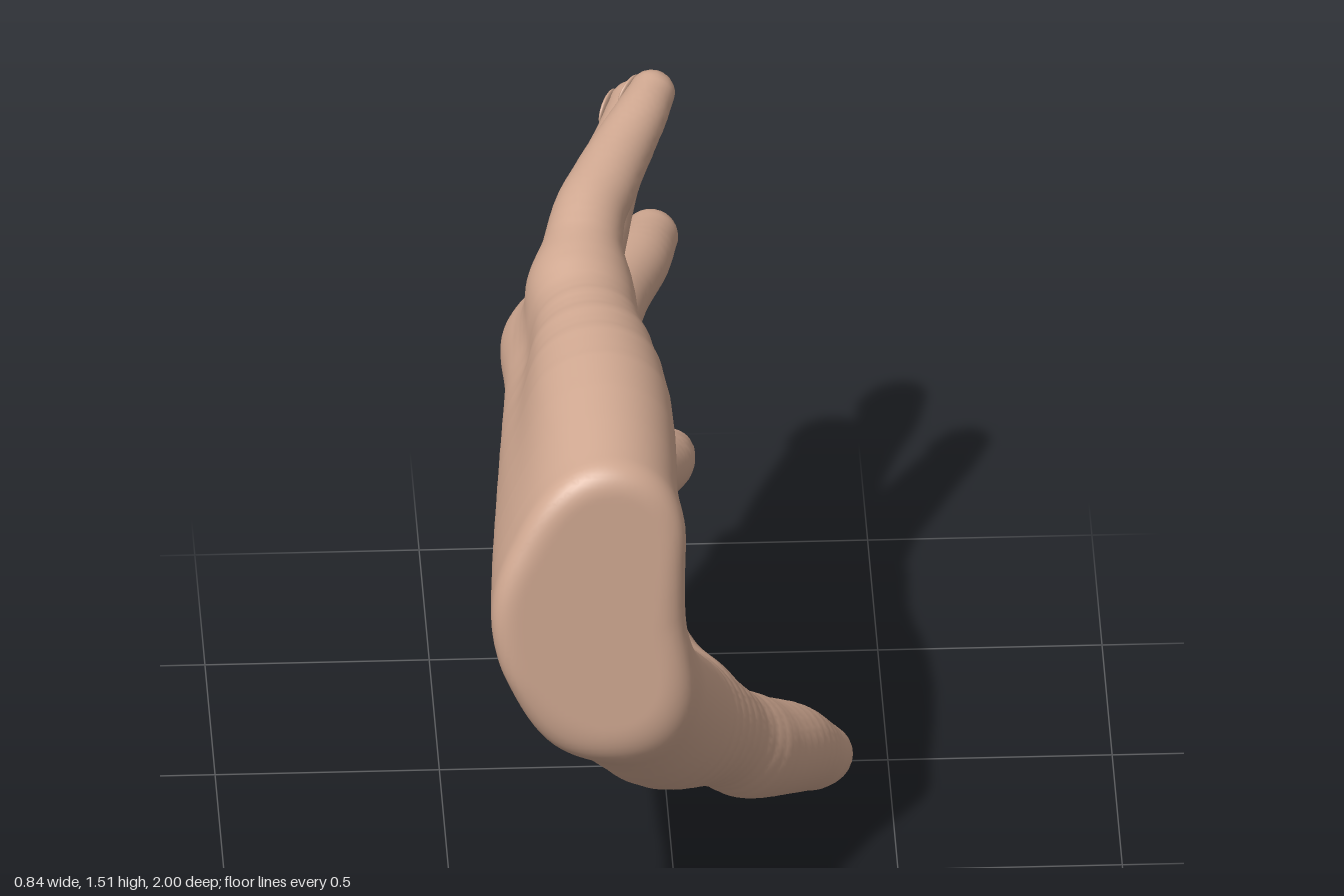
import * as THREE from 'three';

// Each part is a list of limb chains; every chain point is [x, y, z, radius].
const PARTS = {
  palm: [
    [[-0.17, 1.085, 1.08, 0.155], [-0.165, 1.178, 0.5, 0.16], [-0.19, 1.25, 0.07, 0.1]],     // little-finger side
    [[-0.22, 0.96, 1.08, 0.19], [-0.24, 1.0, 0.5, 0.15], [-0.235, 1.05, 0, 0.115]],
    [[-0.23, 0.86, 1.08, 0.18], [-0.24, 0.82, 0.45, 0.15], [-0.225, 0.82, 0, 0.115]],
    [[-0.2, 0.79, 1.08, 0.15], [-0.17, 0.62, 0.42, 0.14], [-0.155, 0.565, 0, 0.118]],        // index side
    [[-0.17, 0.58, 0, 0.09], [-0.21, 0.82, 0, 0.1], [-0.205, 1.06, 0.02, 0.1], [-0.185, 1.2, 0.09, 0.085]], // webbing
    [[-0.15, 1.07, 0.95, 0.125], [-0.14, 0.88, 0.9, 0.125], [-0.12, 0.72, 0.85, 0.125]],     // heel
    [[0.03, 0.46, 0.48, 0.08], [-0.04, 0.5, 0.36, 0.075], [-0.13, 0.53, 0.15, 0.085]],       // thumb web
    [[-0.19, 0.67, 0.9, 0.12], [-0.155, 0.54, 0.62, 0.12], [-0.155, 0.55, 0.28, 0.108]],     // muscle behind the thumb
  ],
  thumb: [
    [[-0.15, 0.77, 0.97, 0.15], [-0.05, 0.505, 0.68, 0.165], [0.07, 0.36, 0.5, 0.128],
      [0.175, 0.235, 0.36, 0.098], [0.275, 0.158, 0.22, 0.078], [0.358, 0.068, 0.102, 0.054]],
    [[0.175, 0.235, 0.36, 0.08], [0.255, 0.148, 0.235, 0.07], [0.305, 0.072, 0.135, 0.05]],  // broad pad
  ],
  indexFinger: [[[-0.155, 0.55, -0.02, 0.122], [-0.13, 0.51, -0.18, 0.11], [-0.08, 0.45, -0.42, 0.094],
    [-0.02, 0.405, -0.58, 0.08], [0.03, 0.368, -0.7, 0.069], [0.045, 0.352, -0.762, 0.06]]],
  middleFinger: [[[-0.22, 0.82, -0.02, 0.11], [-0.19, 0.82, -0.18, 0.099], [-0.14, 0.825, -0.42, 0.09],
    [-0.08, 0.82, -0.65, 0.077], [-0.02, 0.815, -0.82, 0.071], [0.013, 0.812, -0.938, 0.062]]],
  ringFinger: [[[-0.23, 1.06, -0.02, 0.11], [-0.2, 1.085, -0.15, 0.098], [-0.15, 1.125, -0.38, 0.086],
    [-0.1, 1.16, -0.58, 0.074], [-0.05, 1.19, -0.72, 0.069], [-0.025, 1.205, -0.828, 0.062]]],
  littleFinger: [[[-0.195, 1.26, 0.07, 0.095], [-0.165, 1.33, -0.1, 0.083], [-0.125, 1.364, -0.2, 0.077],
    [-0.08, 1.396, -0.3, 0.069], [-0.035, 1.428, -0.39, 0.06], [-0.006, 1.449, -0.458, 0.052]]],
};
const NAMES = Object.keys(PARTS);

// Round a chain off into a flowing curve with smoothly changing radius
function smoothChain(points) {
  const path = new THREE.CatmullRomCurve3(points.map(([x, y, z]) => new THREE.Vector3(x, y, z)), false, 'catmullrom');
  const girth = new THREE.SplineCurve(points.map((p, i) => new THREE.Vector2(i, p[3])));
  const count = (points.length - 1) * 5;
  return Array.from({ length: count + 1 }, (_, i) => [...path.getPoint(i / count).toArray(), girth.getPoint(i / count).y]);
}
const CHAINS = NAMES.map((name) => PARTS[name].map(smoothChain));

// Soft union of two distances
function blend(a, b, k) {
  const h = Math.max(k - Math.abs(a - b), 0) / k;
  return Math.min(a, b) - h * h * k / 4;
}

// Distance to a tapered limb segment
function limb(x, y, z, a, b) {
  const dx = b[0] - a[0], dy = b[1] - a[1], dz = b[2] - a[2];
  const px = x - a[0], py = y - a[1], pz = z - a[2];
  let t = (px * dx + py * dy + pz * dz) / (dx * dx + dy * dy + dz * dz);
  t = Math.min(1, Math.max(0, t));
  const qx = px - t * dx, qy = py - t * dy, qz = pz - t * dz;
  return Math.sqrt(qx * qx + qy * qy + qz * qz) - a[3] - t * (b[3] - a[3]);
}

function partDistance(chains, x, y, z) {
  let d = 10;
  for (const chain of chains) {
    let c = 10;
    for (let i = 1; i < chain.length; i++) c = Math.min(c, limb(x, y, z, chain[i - 1], chain[i]));
    d = blend(d, c, 0.11);
  }
  return d;
}

// Whole hand, trimmed by the slightly slanted wrist plane
function handDistance(x, y, z) {
  let d = 10;
  for (const chains of CHAINS) d = blend(d, partDistance(chains, x, y, z), 0.05);
  return -blend(-d, -(z + 0.07 * (y - 0.65) + 0.08 * (x + 0.25) - 1.0), 0.06);
}

function gradient(x, y, z) {
  const e = 0.008;
  return new THREE.Vector3(
    handDistance(x + e, y, z) - handDistance(x - e, y, z),
    handDistance(x, y + e, z) - handDistance(x, y - e, z),
    handDistance(x, y, z + e) - handDistance(x, y, z - e)).normalize();
}

// Skin the distance field with a quad net, sorted into the named parts
function skinHand() {
  const h = 0.015, lo = [-0.51, -0.06, -1.06], n = [68, 110, 142];
  const step = [1, n[0], n[0] * n[1]];
  const field = new Float32Array(n[0] * n[1] * n[2]);
  const at = (i, axis) => lo[axis] + i * h;
  for (let k = 0, p = 0; k < n[2]; k++)
    for (let j = 0; j < n[1]; j++)
      for (let i = 0; i < n[0]; i++) field[p++] = handDistance(at(i, 0), at(j, 1), at(k, 2));

  const positions = [], normals = [], owner = [];
  const vertexOf = new Int32Array(field.length).fill(-1);
  const cells = [];
  for (let k = 0; k < n[2] - 1; k++) for (let j = 0; j < n[1] - 1; j++) for (let i = 0; i < n[0] - 1; i++) {
    const p = i + j * step[1] + k * step[2];
    const sum = [0, 0, 0];
    let count = 0;
    for (let c = 0; c < 8; c++) for (let axis = 0; axis < 3; axis++) {
      if (c >> axis & 1) continue;
      const bits = [c & 1, c >> 1 & 1, c >> 2 & 1];
      const q = p + bits[0] + bits[1] * step[1] + bits[2] * step[2];
      const a = field[q], b = field[q + step[axis]];
      if ((a < 0) === (b < 0)) continue;
      bits[axis] += a / (a - b);
      for (let m = 0; m < 3; m++) sum[m] += bits[m];
      count++;
    }
    if (!count) continue;
    const v = new THREE.Vector3(at(i + sum[0] / count, 0), at(j + sum[1] / count, 1), at(k + sum[2] / count, 2));
    v.addScaledVector(gradient(v.x, v.y, v.z), -handDistance(v.x, v.y, v.z));
    const g = gradient(v.x, v.y, v.z);
    vertexOf[p] = owner.length;
    cells.push(p);
    positions.push(v.x, v.y, v.z);
    normals.push(g.x, g.y, g.z);
    const near = CHAINS.map((chains) => partDistance(chains, v.x, v.y, v.z));
    owner.push(near.indexOf(Math.min(...near)));
  }

  const faces = NAMES.map(() => []);
  for (const p of cells) for (let axis = 0; axis < 3; axis++) {
    const inside = field[p] < 0;
    if (inside === (field[p + step[axis]] < 0)) continue;
    const u = step[(axis + 1) % 3], w = step[(axis + 2) % 3];
    const quad = [p - u - w, p - w, p, p - u].map((c) => vertexOf[c]);
    if (!inside) quad.reverse();
    const [a, b, c, d] = quad;
    faces[owner[a]].push(a, b, c, a, c, d);
  }
  return faces.map((index) => {
    const geometry = new THREE.BufferGeometry();
    geometry.setAttribute('position', new THREE.Float32BufferAttribute(positions, 3));
    geometry.setAttribute('normal', new THREE.Float32BufferAttribute(normals, 3));
    geometry.setIndex(index);
    return geometry.toNonIndexed();
  });
}

// Thin oval nail resting on the back of a fingertip, tipped to follow its taper
function makeNail(chain, back, material) {
  const [before, tip] = chain.slice(-2);
  const r = tip[3];
  const end = new THREE.Vector3(...tip);
  const along = end.clone().sub(new THREE.Vector3(...before)).normalize();
  const out = back.clone().addScaledVector(along, -back.dot(along)).normalize();
  const nail = new THREE.Mesh(new THREE.SphereGeometry(1, 20, 12), material);
  const spot = nail.position.copy(end).addScaledVector(out, r).addScaledVector(along, -r * 0.2);
  spot.addScaledVector(out, -handDistance(spot.x, spot.y, spot.z) - 0.002);
  along.addScaledVector(out, -0.2).normalize();
  out.addScaledVector(along, -out.dot(along)).normalize();
  const side = new THREE.Vector3().crossVectors(out, along);
  nail.scale.set(r * 0.62, 0.009, r * 0.85);
  nail.quaternion.setFromRotationMatrix(new THREE.Matrix4().makeBasis(side, out, along));
  return nail;
}

export function createModel() {
  const skin = new THREE.MeshStandardMaterial({ color: 0xd0a891 });
  skin.name = 'skin';
  const hand = new THREE.Group();
  hand.name = 'hand';
  skinHand().forEach((geometry, i) => {
    const mesh = new THREE.Mesh(geometry, skin);
    mesh.name = NAMES[i];
    hand.add(mesh);
    if (NAMES[i] === 'palm') return;
    const back = NAMES[i] === 'thumb' ? new THREE.Vector3(-0.55, -0.8, 0) : new THREE.Vector3(-1, 0, 0);
    const nail = makeNail(CHAINS[i][0], back, skin);
    nail.name = NAMES[i] + 'Nail';
    hand.add(nail);
  });
  return hand;
}
